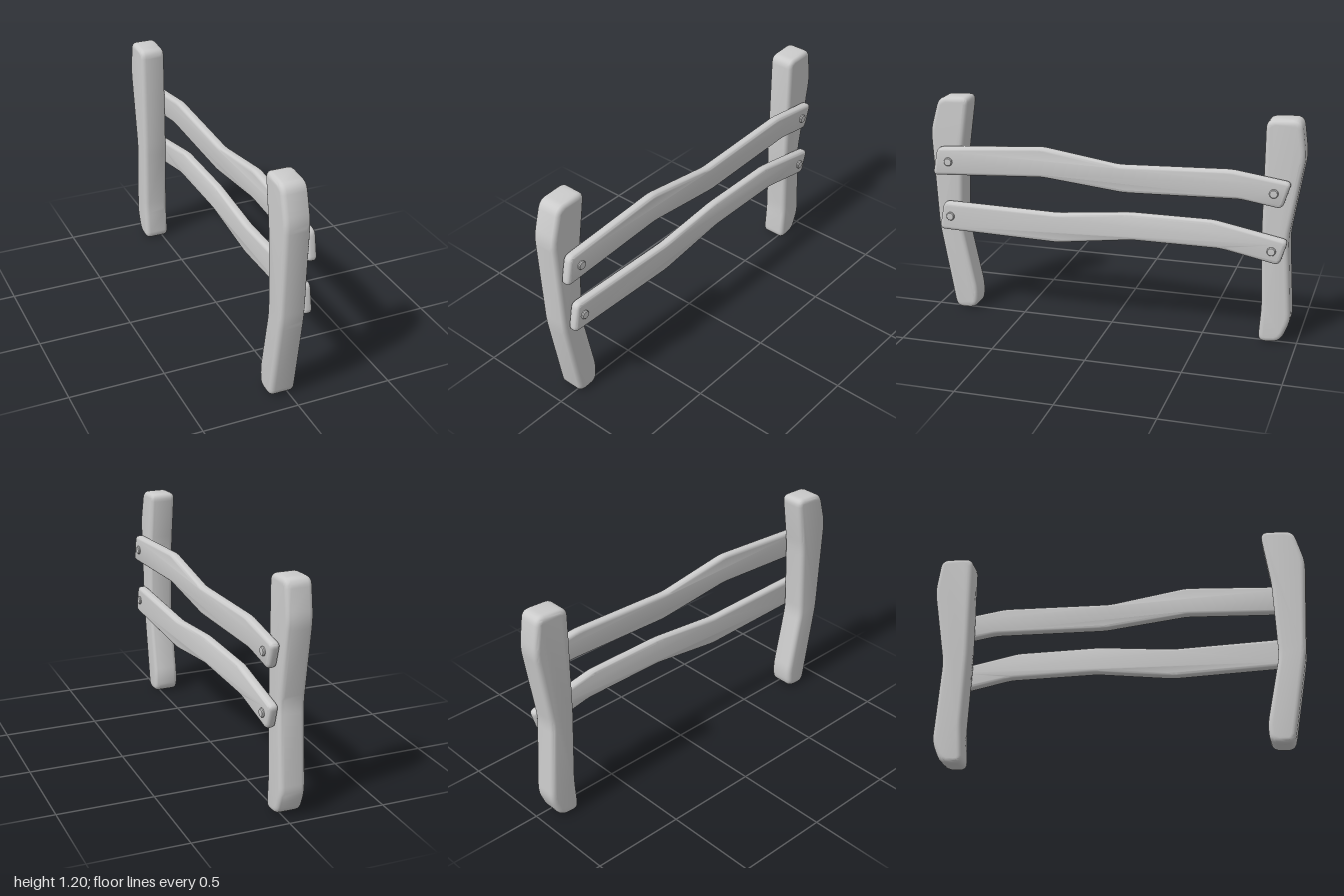
import * as THREE from 'three';
import { toCreasedNormals } from 'three/addons/utils/BufferGeometryUtils.js';

const material = new THREE.MeshStandardMaterial({ color: 0xcccccc });

// Closed outline through [z, y] points with every corner rounded by r
function roundedOutline(points, r) {
  const pts = points.map(([z, y]) => new THREE.Vector2(-z, y));
  const shape = new THREE.Shape();
  pts.forEach((p, i) => {
    const prev = pts[(i + pts.length - 1) % pts.length];
    const next = pts[(i + 1) % pts.length];
    const a = p.clone().add(prev.clone().sub(p).setLength(r));
    const b = p.clone().add(next.clone().sub(p).setLength(r));
    if (i === 0) shape.moveTo(a.x, a.y);
    else shape.lineTo(a.x, a.y);
    shape.quadraticCurveTo(p.x, p.y, b.x, b.y);
  });
  shape.closePath();
  return shape;
}

// Soft-edged board: side outline extruded from x0 to x1
function board(name, points, x0, x1, bevel, r) {
  const geometry = new THREE.ExtrudeGeometry(roundedOutline(points, r), {
    depth: x1 - x0 - 2 * bevel,
    bevelThickness: bevel,
    bevelSize: bevel,
    bevelOffset: -bevel,
    bevelSegments: 4,
    curveSegments: 5,
  });
  geometry.translate(0, 0, x0 + bevel);
  geometry.rotateY(Math.PI / 2);
  const mesh = new THREE.Mesh(toCreasedNormals(geometry, 0.6), material);
  mesh.name = name;
  return mesh;
}

// Domed peg head facing +x
function peg(name, y, z) {
  const profile = [[0, -0.02], [0.023, -0.02], [0.023, 0.007], [0.019, 0.012], [0, 0.013]]
    .map(([r, h]) => new THREE.Vector2(r, h));
  const geometry = new THREE.LatheGeometry(profile, 20);
  geometry.rotateZ(-Math.PI / 2);
  const mesh = new THREE.Mesh(toCreasedNormals(geometry, 0.6), material);
  mesh.name = name;
  mesh.position.set(0.086, y, z);
  return mesh;
}

export function createModel() {
  const group = new THREE.Group();
  group.name = 'fence';

  // Crooked posts, outlines as [z, y]
  const frontPost = [
    [0.95, 1.193], [1.002, 1.01], [0.975, 0.48], [0.892, 0], [0.77, 0.008],
    [0.762, 0.11], [0.837, 0.48], [0.82, 0.9], [0.775, 1.203],
  ];
  const backPost = [
    [-0.797, 1.193], [-0.795, 0.6], [-0.81, 0.2], [-0.797, 0], [-0.915, 0.01],
    [-0.964, 0.13], [-0.934, 0.58], [-1.002, 1.01], [-0.975, 1.203],
  ];
  group.add(board('frontPost', frontPost, -0.1, 0.035, 0.025, 0.045));
  group.add(board('backPost', backPost, -0.1, 0.035, 0.025, 0.045));

  // Wavy rails on the left face of the posts
  const upperRail = [
    [0.945, 0.932], [0.36, 0.976], [-0.055, 0.914], [-0.64, 0.936], [-0.945, 0.893],
    [-0.902, 0.755], [-0.69, 0.787], [-0.083, 0.768], [0.356, 0.814], [0.976, 0.777],
  ];
  const lowerRail = [
    [0.92, 0.632], [0.28, 0.621], [-0.11, 0.661], [-0.555, 0.661], [-0.94, 0.588],
    [-0.9, 0.455], [-0.597, 0.514], [-0.126, 0.514], [0.28, 0.46], [0.95, 0.475],
  ];
  group.add(board('upperRail', upperRail, 0.037, 0.087, 0.018, 0.03));
  group.add(board('lowerRail', lowerRail, 0.037, 0.087, 0.018, 0.03));

  // Pegs fixing the rail ends
  group.add(peg('upperFrontPeg', 0.86, 0.88));
  group.add(peg('upperBackPeg', 0.835, -0.86));
  group.add(peg('lowerFrontPeg', 0.555, 0.88));
  group.add(peg('lowerBackPeg', 0.53, -0.86));

  return group;
}
